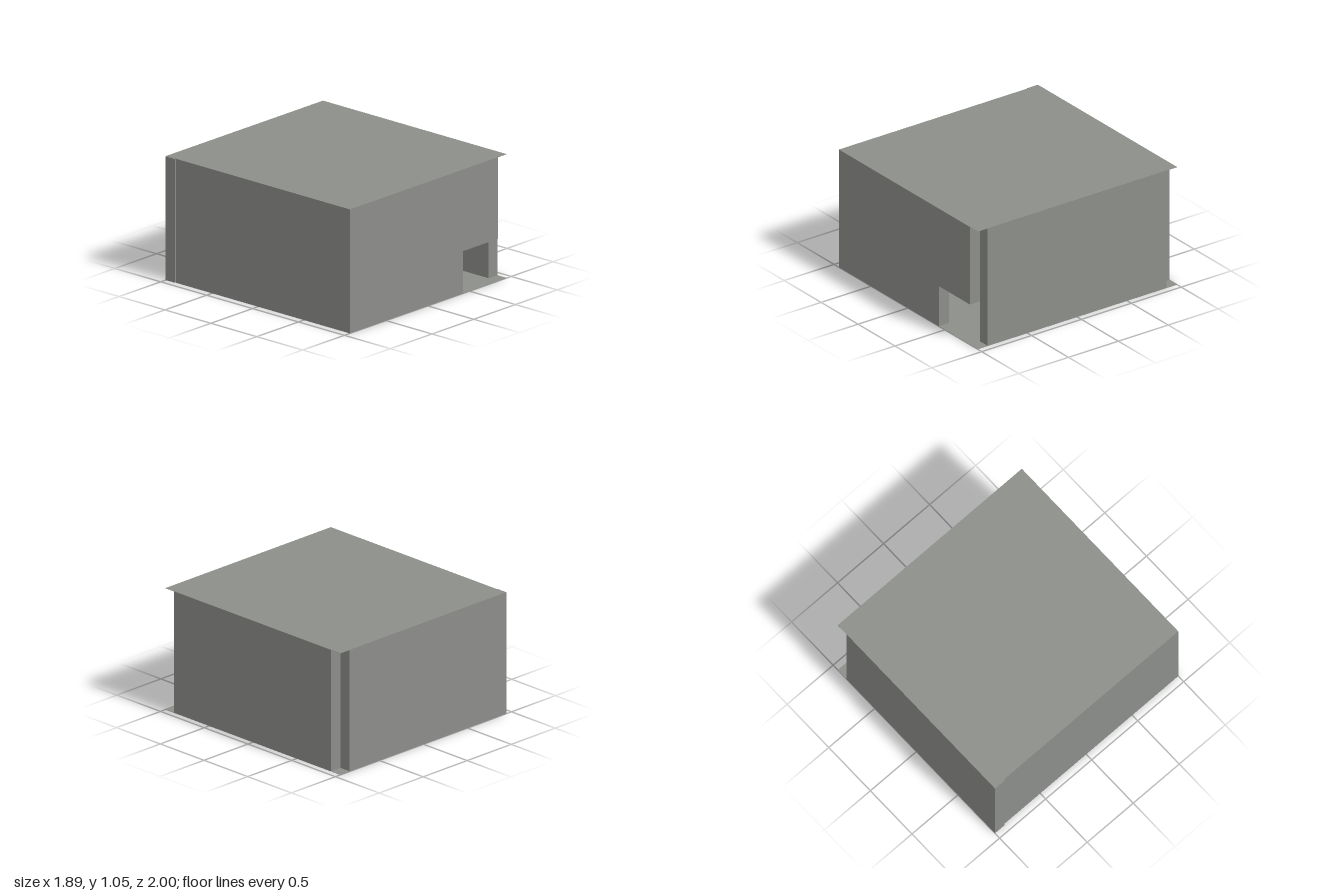
import * as THREE from 'three';

const H = 1.055;   // overall height
const T = 0.002;   // floor and roof sheet thickness

export function createModel() {
  const model = new THREE.Group();
  model.name = 'room';
  const concrete = new THREE.MeshStandardMaterial({ color: 0x8c8e8a });
  concrete.name = 'concrete grey';

  // Box given by its lower and upper corner values on each axis
  function slab(name, x0, x1, y0, y1, z0, z1) {
    const mesh = new THREE.Mesh(new THREE.BoxGeometry(x1 - x0, y1 - y0, z1 - z0), concrete);
    mesh.position.set((x0 + x1) / 2, (y0 + y1) / 2, (z0 + z1) / 2);
    mesh.name = name;
    model.add(mesh);
  }

  // Thin floor and roof sheets
  slab('floor', -0.935, 0.945, 0, T, -1, 1);
  slab('roof', -0.935, 0.945, H - T, H, -1, 1);

  // Side and back walls, leaving open notches at the +x corners
  const y0 = T, y1 = H - T;
  slab('leftWall', 0.84, 0.945, y0, y1, -0.895, 0.9);
  slab('rightWall', -0.935, -0.83, y0, y1, -0.895, 0.9);
  slab('backWall', -0.945, 0.84, y0, y1, -1, -0.895);

  // Inner partition reaching from the +x wall into the room
  slab('partition', -0.354, 0.84, y0, y1, -0.535, -0.435);

  // Front wall with a low doorway cut from its +x end
  const outline = new THREE.Shape([
    [-0.935, y0], [0.42, y0], [0.42, 0.36], [0.84, 0.36], [0.84, y1], [-0.935, y1],
  ].map(([x, y]) => new THREE.Vector2(x, y)));
  const front = new THREE.Mesh(
    new THREE.ExtrudeGeometry(outline, { depth: 0.1, bevelEnabled: false }), concrete);
  front.position.z = 0.9;
  front.name = 'frontWall';
  model.add(front);

  return model;
}
